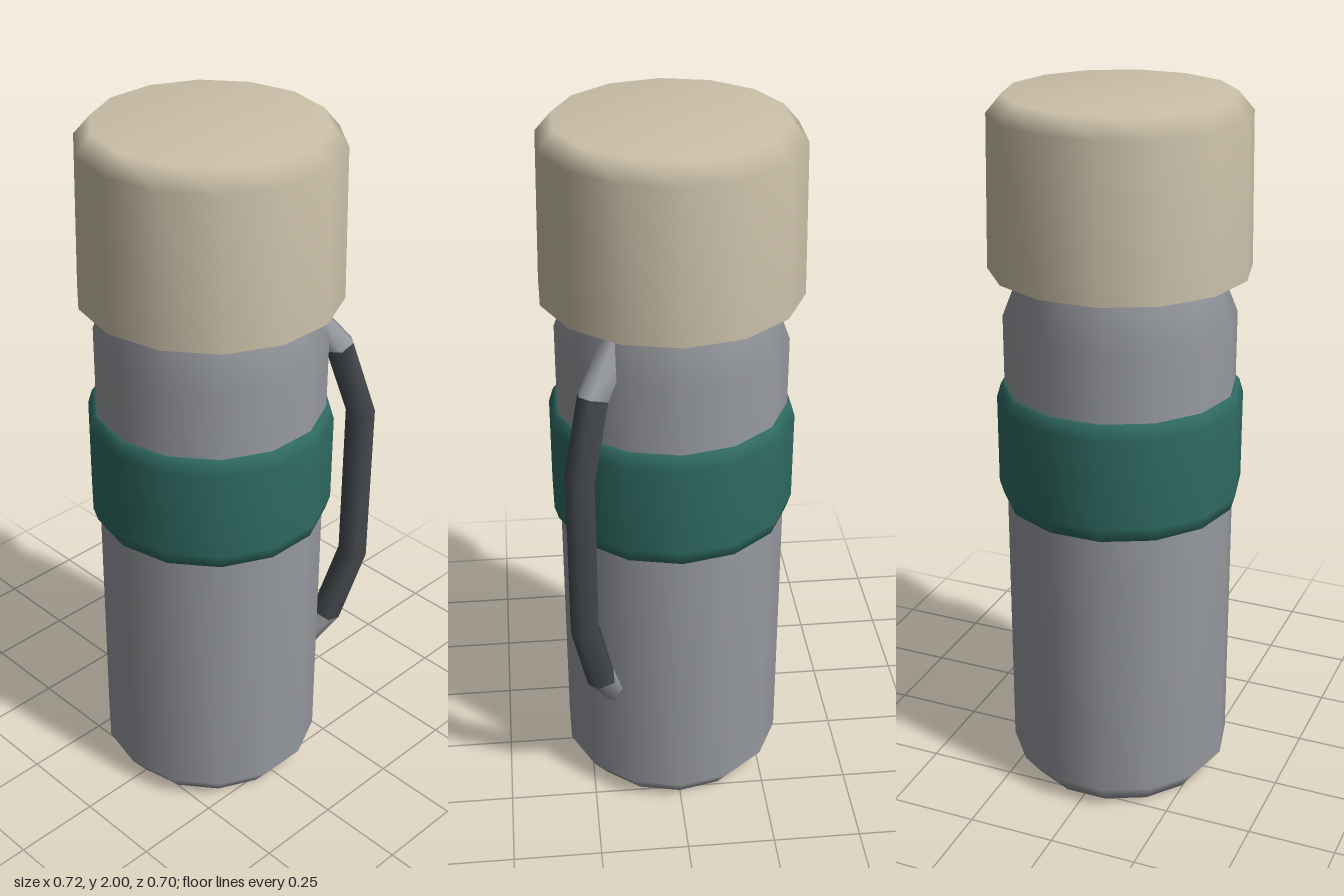
import * as THREE from 'three';

const SIDES = 14;
const CENTRE_X = -0.004;

function material(name, color) {
  const m = new THREE.MeshStandardMaterial({ color });
  m.name = name;
  return m;
}

// Fourteen-sided turned part, with a corner on the x axis
function turned(name, profile, mat) {
  const points = profile.map(([r, y]) => new THREE.Vector2(r, y));
  const mesh = new THREE.Mesh(new THREE.LatheGeometry(points, SIDES, Math.PI / 2), mat);
  mesh.name = name;
  return mesh;
}

// Six-sided bar swept along a path in the x-y plane, mitred at each bend
function bar(name, path, mat) {
  const section = [[0, 0.048], [0.038, 0.018], [0.038, -0.018], [0, -0.048], [-0.038, -0.018], [-0.038, 0.018]];
  const pts = path.map(([x, y]) => new THREE.Vector2(x, y));
  const positions = [], index = [];
  pts.forEach((p, i) => {
    const a = pts[Math.max(i - 1, 0)], b = pts[Math.min(i + 1, pts.length - 1)];
    const before = p.clone().sub(a).normalize(), after = b.clone().sub(p).normalize();
    const dir = before.add(after).normalize();
    for (const [out, side] of section) {
      positions.push(p.x + dir.y * out, p.y - dir.x * out, side);
    }
    if (i === 0) return;
    for (let k = 0; k < 6; k++) {
      const n = (k + 1) % 6, lo = (i - 1) * 6, hi = i * 6;
      index.push(lo + k, lo + n, hi + n, lo + k, hi + n, hi + k);
    }
  });
  const g = new THREE.BufferGeometry();
  g.setAttribute('position', new THREE.Float32BufferAttribute(positions, 3));
  // Path runs upwards, so flip the corner order to face outwards
  const ref = new THREE.Vector3().fromArray(positions, 0);
  const u = new THREE.Vector3().fromArray(positions, 3).sub(ref);
  const v = new THREE.Vector3().fromArray(positions, 21).sub(ref);
  if (u.cross(v).z < 0) index.reverse();
  g.setIndex(index);
  g.computeVertexNormals();
  const mesh = new THREE.Mesh(g, mat);
  mesh.name = name;
  return mesh;
}

export function createModel() {
  const steel = material('grey steel', 0x96999e);
  const cream = material('cream', 0xcbc0a9);
  const green = material('dark green', 0x2f6b62);
  const dark = material('dark grip', 0x44494d);

  const model = new THREE.Group();
  model.name = 'flask';
  const vessel = new THREE.Group();
  vessel.name = 'vessel';
  vessel.position.x = CENTRE_X;
  model.add(vessel);

  // Bottle, band and cup-shaped cap
  vessel.add(
    turned('body', [[0, 0], [0.27, 0], [0.32, 0.065], [0.32, 1.4], [0.265, 1.54], [0.265, 1.6]], steel),
    turned('band', [[0.315, 0.87], [0.33, 0.87], [0.342, 0.91], [0.342, 1.165], [0.33, 1.205], [0.315, 1.205]], green),
    turned('cap', [[0.357, 1.535], [0.348, 1.95], [0.305, 2], [0, 2]], cream),
    turned('capUnderside', [[0, 1.535], [0.357, 1.535]], cream)
  );

  // Handle on the front-left flat of the bottle
  const handle = new THREE.Group();
  handle.name = 'handle';
  const angle = Math.PI * 3 / SIDES;
  handle.rotation.y = -angle;
  handle.position.set(CENTRE_X - Math.sin(angle) * 0.011, 0, Math.cos(angle) * 0.011);
  handle.add(
    bar('grip', [[0.35, 0.45], [0.419, 0.67], [0.419, 1.15], [0.35, 1.36]], dark),
    bar('lowerMount', [[0.26, 0.34], [0.35, 0.45]], steel),
    bar('upperMount', [[0.35, 1.36], [0.25, 1.47]], steel)
  );
  // Match the mount ends to the mitred ends of the grip
  const grip = handle.children[0].geometry.attributes.position;
  const lower = handle.children[1].geometry.attributes.position;
  const upper = handle.children[2].geometry.attributes.position;
  for (let k = 0; k < 6; k++) {
    lower.setXYZ(6 + k, grip.getX(k), grip.getY(k), grip.getZ(k));
    upper.setXYZ(k, grip.getX(18 + k), grip.getY(18 + k), grip.getZ(18 + k));
  }
  for (const part of handle.children) part.geometry.computeVertexNormals();
  model.add(handle);
  return model;
}
